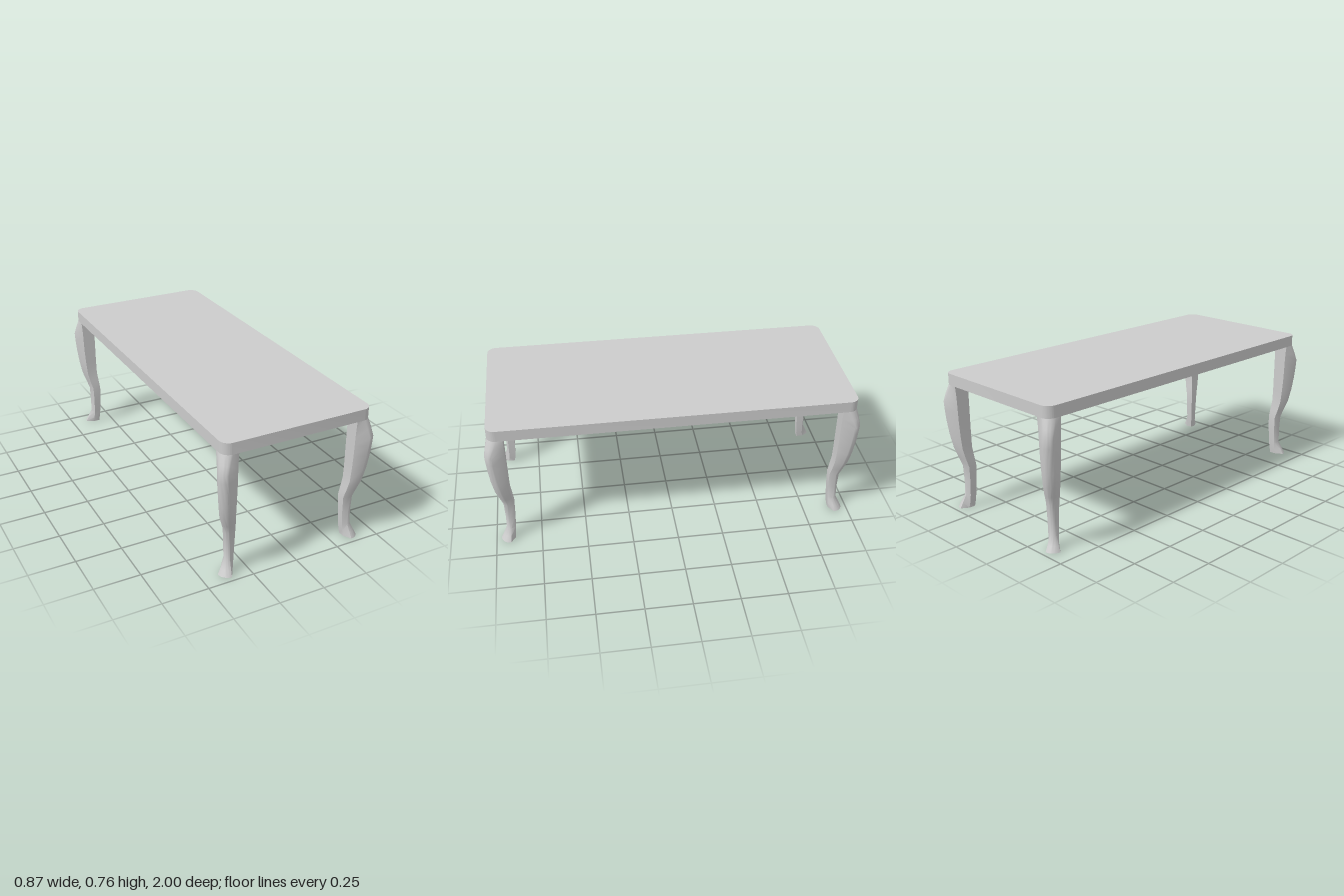
import * as THREE from 'three';
import { toCreasedNormals } from 'three/addons/utils/BufferGeometryUtils.js';

const HALF_X = 0.415, HALF_Z = 0.979, CORNER = 0.05, TOP = 0.762, UNDER = 0.7;
const OFFSET_Z = HALF_Z - HALF_X; // legs are diagonal-symmetric, shifted along z
const ARC_STEPS = 8;

// Leg sections: [height, inner corner, side corner, outer extent, arc centre]
const LEG = [
  [0.0, 0.333, 0.37, 0.41, 0.358],
  [0.03, 0.329, 0.365, 0.395, 0.355],
  [0.072, 0.325, 0.362, 0.375, 0.35],
  [0.15, 0.321, 0.361, 0.373, 0.35],
  [0.24, 0.318, 0.364, 0.376, 0.352],
  [0.29, 0.324, 0.378, 0.392, 0.36],
  [0.345, 0.33, 0.39, 0.41, 0.37],
  [0.42, 0.331, 0.397, 0.422, 0.382],
  [0.5, 0.331, 0.402, 0.43, 0.391],
  [0.56, 0.331, 0.404, 0.434, 0.395],
  [0.605, 0.331, 0.405, 0.436, 0.397],
  [0.65, 0.331, 0.407, 0.427, 0.384],
  [UNDER, 0.331, 0.411, 0.415, 0.365],
];

// Square inner corner, rounded outer corner
function legSection([, inner, side, outer, centre]) {
  const pts = [[inner, inner], [side, inner]];
  for (let i = 0; i <= ARC_STEPS; i++) {
    const t = (i / ARC_STEPS) * Math.PI / 2, r = outer - centre;
    pts.push([centre + r * Math.cos(t), centre + r * Math.sin(t)]);
  }
  pts.push([inner, side]);
  return pts;
}

function legGeometry(sx, sz) {
  const pos = [], index = [];
  const add = (x, y, z) => pos.push(sx * x, y, sz * (z + OFFSET_Z));
  const face = (a, b, c) => (sx * sz > 0 ? index.push(a, b, c) : index.push(a, c, b));
  for (const level of LEG) for (const [x, z] of legSection(level)) add(x, level[0], z);
  const n = ARC_STEPS + 4;
  for (let k = 0; k < LEG.length - 1; k++) {
    for (let i = 0; i < n; i++) {
      const a = k * n + i, b = k * n + (i + 1) % n;
      face(a, a + n, b);
      face(b, a + n, b + n);
    }
  }
  // Sole of the foot
  const sole = pos.length / 3;
  add(0.365, 0, 0.365);
  for (let i = 0; i < n; i++) face(sole, i, (i + 1) % n);
  const g = new THREE.BufferGeometry();
  g.setAttribute('position', new THREE.Float32BufferAttribute(pos, 3));
  g.setIndex(index);
  return toCreasedNormals(g, 0.7);
}

function tabletopGeometry() {
  const s = new THREE.Shape();
  const x = HALF_X - CORNER, z = HALF_Z - CORNER;
  s.absarc(x, z, CORNER, 0, Math.PI / 2);
  s.absarc(-x, z, CORNER, Math.PI / 2, Math.PI);
  s.absarc(-x, -z, CORNER, Math.PI, Math.PI * 1.5);
  s.absarc(x, -z, CORNER, Math.PI * 1.5, Math.PI * 2);
  const g = new THREE.ExtrudeGeometry(s, { depth: TOP - UNDER, bevelEnabled: false, curveSegments: ARC_STEPS });
  g.rotateX(-Math.PI / 2).translate(0, UNDER, 0);
  return toCreasedNormals(g, 0.7);
}

export function createModel() {
  const model = new THREE.Group();
  model.name = 'table';
  const material = new THREE.MeshStandardMaterial({ color: 0xcccccc });
  const part = (name, geometry) => {
    const mesh = new THREE.Mesh(geometry, material);
    mesh.name = name;
    model.add(mesh);
  };
  part('tabletop', tabletopGeometry());
  for (const sx of [1, -1]) {
    for (const sz of [1, -1]) {
      part((sz > 0 ? 'front' : 'back') + (sx > 0 ? 'Left' : 'Right') + 'Leg', legGeometry(sx, sz));
    }
  }
  return model;
}
